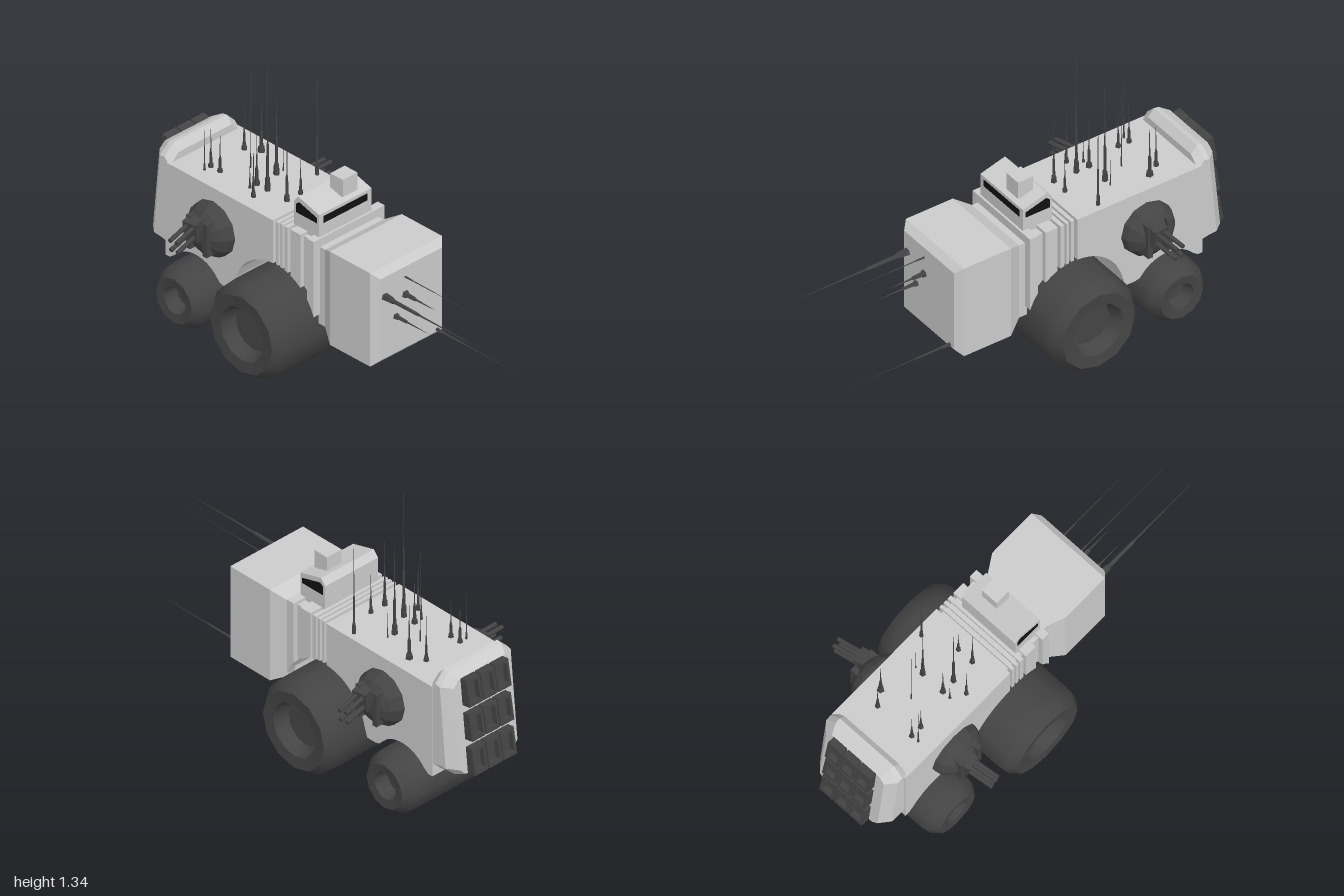
import * as THREE from 'three';
import { toCreasedNormals } from 'three/addons/utils/BufferGeometryUtils.js';

const grey = new THREE.MeshStandardMaterial({ color: 0xcccccc, flatShading: true });
const dark = new THREE.MeshStandardMaterial({ color: 0x444444, flatShading: true });
const darkSmooth = new THREE.MeshStandardMaterial({ color: 0x444444 });
const glass = new THREE.MeshStandardMaterial({ color: 0x111111, flatShading: true });

function add(parent, name, geometry, material, x = 0, y = 0, z = 0) {
  const mesh = new THREE.Mesh(geometry, material);
  mesh.name = name;
  mesh.position.set(x, y, z);
  parent.add(mesh);
  return mesh;
}

// Rectangle cross-section with cut corners, leaning from zBottom to zTop
function ring(hw, y0, y1, zBottom, zTop = zBottom, cut = 0) {
  const c = cut;
  const pts = c
    ? [[hw - c, y0], [hw, y0 + c], [hw, y1 - c], [hw - c, y1], [c - hw, y1], [-hw, y1 - c], [-hw, y0 + c], [c - hw, y0]]
    : [[hw, y0], [hw, y1], [-hw, y1], [-hw, y0]];
  return pts.map(([x, y]) => [x, y, THREE.MathUtils.lerp(zBottom, zTop, (y - y0) / (y1 - y0))]);
}

// Closed skin over rings listed from front to back
function loft(rings) {
  const n = rings[0].length, index = [];
  for (let r = 0; r < rings.length - 1; r++) {
    for (let i = 0; i < n; i++) {
      const a = r * n + i, b = r * n + (i + 1) % n;
      index.push(a, a + n, b, b, a + n, b + n);
    }
  }
  const last = (rings.length - 1) * n;
  for (let i = 1; i < n - 1; i++) index.push(0, i, i + 1, last, last + i + 1, last + i);
  const g = new THREE.BufferGeometry();
  g.setAttribute('position', new THREE.Float32BufferAttribute(rings.flat(2), 3));
  g.setIndex(index);
  g.computeVertexNormals();
  return g;
}

// Side profile of [z, y] points extruded across x
function across(points, width) {
  const shape = new THREE.Shape(points.map(([z, y]) => new THREE.Vector2(z, y)));
  return new THREE.ExtrudeGeometry(shape, { depth: width, bevelEnabled: false })
    .translate(0, 0, -width / 2).rotateY(-Math.PI / 2);
}

// Hull underside height, rising over both wheel arches
function underside(z) {
  const arch = (cz, cy, r) => cy + Math.sqrt(Math.max(0, r * r - (z - cz) ** 2));
  return Math.max(0.235, arch(-0.19, 0.24, 0.245), arch(-0.66, 0.15, 0.17));
}

function hullSlice(z0, z1, hw, top) {
  const n = Math.max(1, Math.round((z1 - z0) / 0.025));
  const pts = [[z1, top], [z0, top]];
  for (let i = 0; i <= n; i++) {
    const z = z0 + (z1 - z0) * i / n;
    pts.push([z, underside(z)]);
  }
  return across(pts, hw * 2);
}

// Full-width roller wheel with dished ends
function roller(parent, name, R, half, hub, y, z) {
  const side = [[0, half - 0.07], [hub * 0.8, half - 0.07], [hub, half - 0.005], [R - 0.04, half], [R - 0.008, half - 0.04], [R, half - 0.08]];
  const profile = [...side.map(([r, h]) => [r, -h]), ...side.reverse()];
  const g = new THREE.LatheGeometry(profile.map(([r, h]) => new THREE.Vector2(r, h)), 12);
  g.rotateZ(-Math.PI / 2);
  add(parent, name, toCreasedNormals(g, 0.7), darkSmooth, -0.012, y, z);
}

// Stepped needle rising along +y
function spike(length, r) {
  const p = [[0, 0], [r, 0], [r * 0.75, 0.1], [r * 0.5, 0.11], [r * 0.4, 0.35], [r * 0.22, 0.37], [0, 1]];
  return new THREE.LatheGeometry(p.map(([a, b]) => new THREE.Vector2(a, b * length)), 5);
}

// Dome turret facing +x
function turret() {
  const g = new THREE.Group();
  g.name = 'sideTurret';
  const dome = new THREE.SphereGeometry(0.13, 12, 5, 0, Math.PI * 2, 0, Math.PI / 2);
  dome.scale(1, 0.75, 1).rotateZ(-Math.PI / 2);
  add(g, 'turretDome', dome, dark);
  for (const s of [-1, 1]) add(g, 'turretCheek', new THREE.BoxGeometry(0.07, 0.16, 0.025), dark, 0.065, 0, s * 0.05);
  const gun = new THREE.Group();
  gun.name = 'turretGun';
  gun.position.set(0.06, 0.035, 0.025);
  gun.rotation.set(0, 0.16, -0.14);
  add(gun, 'gunHousing', new THREE.BoxGeometry(0.09, 0.09, 0.07), dark, 0.02, 0, 0);
  for (const y of [-0.025, 0.025]) {
    for (const z of [-0.017, 0.017]) {
      const barrel = new THREE.CylinderGeometry(0.01, 0.01, 0.16, 8).rotateZ(Math.PI / 2);
      add(gun, 'gunBarrel', barrel, dark, 0.1, y, z);
    }
  }
  g.add(gun);
  return g;
}

export function createModel() {
  const model = new THREE.Group();
  model.name = 'armouredCrawler';

  // Hull
  add(model, 'frontBlock', loft([
    ring(0.18, 0.265, 0.665, 0.41), ring(0.21, 0.235, 0.695, 0.38), ring(0.21, 0.235, 0.695, 0.14),
    ring(0.17, 0.275, 0.655, 0.07), ring(0.17, 0.275, 0.655, 0.03)]), grey);
  add(model, 'rearHull', hullSlice(-0.84, -0.2, 0.21, 0.695), grey);
  add(model, 'ribCore', hullSlice(-0.2, 0.035, 0.185, 0.68), grey);
  for (const [z0, z1] of [[0, 0.04], [-0.1, -0.04], [-0.135, -0.115], [-0.16, -0.145], [-0.185, -0.17]]) {
    add(model, 'hullRib', hullSlice(z0, z1, 0.207, 0.695), grey);
  }

  // Cabin with windows
  const cabin = new THREE.Group();
  cabin.name = 'cabin';
  add(cabin, 'cabinShell', across([[0.03, 0.68], [0.03, 0.805], [-0.095, 0.84], [-0.12, 0.81], [-0.12, 0.68]], 0.305), grey);
  add(cabin, 'frontWindow', new THREE.BoxGeometry(0.255, 0.033, 0.004), glass, 0, 0.773, 0.03);
  add(cabin, 'sideWindows', across([[0.017, 0.76], [0.017, 0.785], [-0.09, 0.815], [-0.108, 0.8], [-0.108, 0.76]], 0.309), glass);
  add(cabin, 'roofBox', new THREE.BoxGeometry(0.085, 0.085, 0.075), grey, 0.0475, 0.8575, -0.028);
  cabin.position.x = -0.0125;
  model.add(cabin);

  // Wheels
  roller(model, 'frontRoller', 0.225, 0.397, 0.13, 0.226, -0.185);
  roller(model, 'rearRoller', 0.147, 0.327, 0.065, 0.148, -0.66);

  // Turrets, one turned half round from the other
  for (const s of [-1, 1]) {
    const t = turret();
    t.position.set(s * 0.215, 0.505, -0.55);
    if (s < 0) t.rotation.y = Math.PI;
    model.add(t);
  }

  // Leaning rear rack with a grid of vents
  add(model, 'rearRack', loft([
    ring(0.205, 0.25, 0.73, -0.82, -0.82, 0.05), ring(0.205, 0.262, 0.765, -0.88, -0.85, 0.05),
    ring(0.205, 0.265, 0.76, -0.92, -0.875, 0.05), ring(0.165, 0.28, 0.735, -0.965, -0.92, 0.03)]), grey);
  const rect = (S, w, h) => {
    const s = new S();
    s.moveTo(-w, -h); s.lineTo(w, -h); s.lineTo(w, h); s.lineTo(-w, h); s.closePath();
    return s;
  };
  const frame = rect(THREE.Shape, 0.038, 0.064);
  frame.holes.push(rect(THREE.Path, 0.026, 0.046));
  const ventFrame = new THREE.ExtrudeGeometry(frame, { depth: 0.05, bevelEnabled: false }).translate(0, 0, -0.04);
  for (const y of [0.672, 0.507, 0.342]) {
    for (const x of [-0.08, 0.003, 0.086]) {
      const vent = new THREE.Group();
      vent.name = 'rearVent';
      vent.position.set(x, y, -0.92 - (0.735 - y) * 0.1);
      vent.rotation.x = 0.17;
      add(vent, 'ventFrame', ventFrame, dark);
      add(vent, 'ventPlate', new THREE.BoxGeometry(0.06, 0.1, 0.02), dark, 0, 0, -0.003);
      model.add(vent);
    }
  }

  // Roof antennas: x, z, tip height, base radius
  const antennas = [
    [-0.06, -0.385, 1.345, 0.014], [0.055, -0.45, 1.21, 0.015], [0.175, -0.33, 1.23, 0.01], [-0.138, -0.39, 0.98, 0.012],
    [-0.06, -0.27, 1.04, 0.014], [0.02, -0.27, 0.9, 0.013], [0.135, -0.622, 0.98, 0.018], [-0.1, -0.628, 0.9, 0.014],
    [0.095, -0.683, 0.93, 0.014], [-0.1, -0.683, 0.91, 0.014], [-0.137, -0.683, 1.03, 0.006], [0.015, -0.563, 1.25, 0.004],
    [-0.06, -0.45, 0.95, 0.016], [-0.1, -0.45, 0.85, 0.008], [0.095, -0.45, 0.9, 0.004]];
  for (const [x, z, top, r] of antennas) add(model, 'roofAntenna', spike(top - 0.69, r), dark, x, 0.69, z);

  // Front spikes: x, y, tip z, base radius
  const spikes = [[-0.155, 0.57, 1, 0.019], [-0.035, 0.615, 0.92, 0.005], [-0.035, 0.53, 0.6, 0.022],
    [-0.09, 0.445, 0.62, 0.018], [0.15, 0.275, 0.9, 0.009]];
  for (const [x, y, tip, r] of spikes) add(model, 'frontSpike', spike(tip - 0.4, r).rotateX(Math.PI / 2), dark, x, y, 0.4);

  return model;
}
